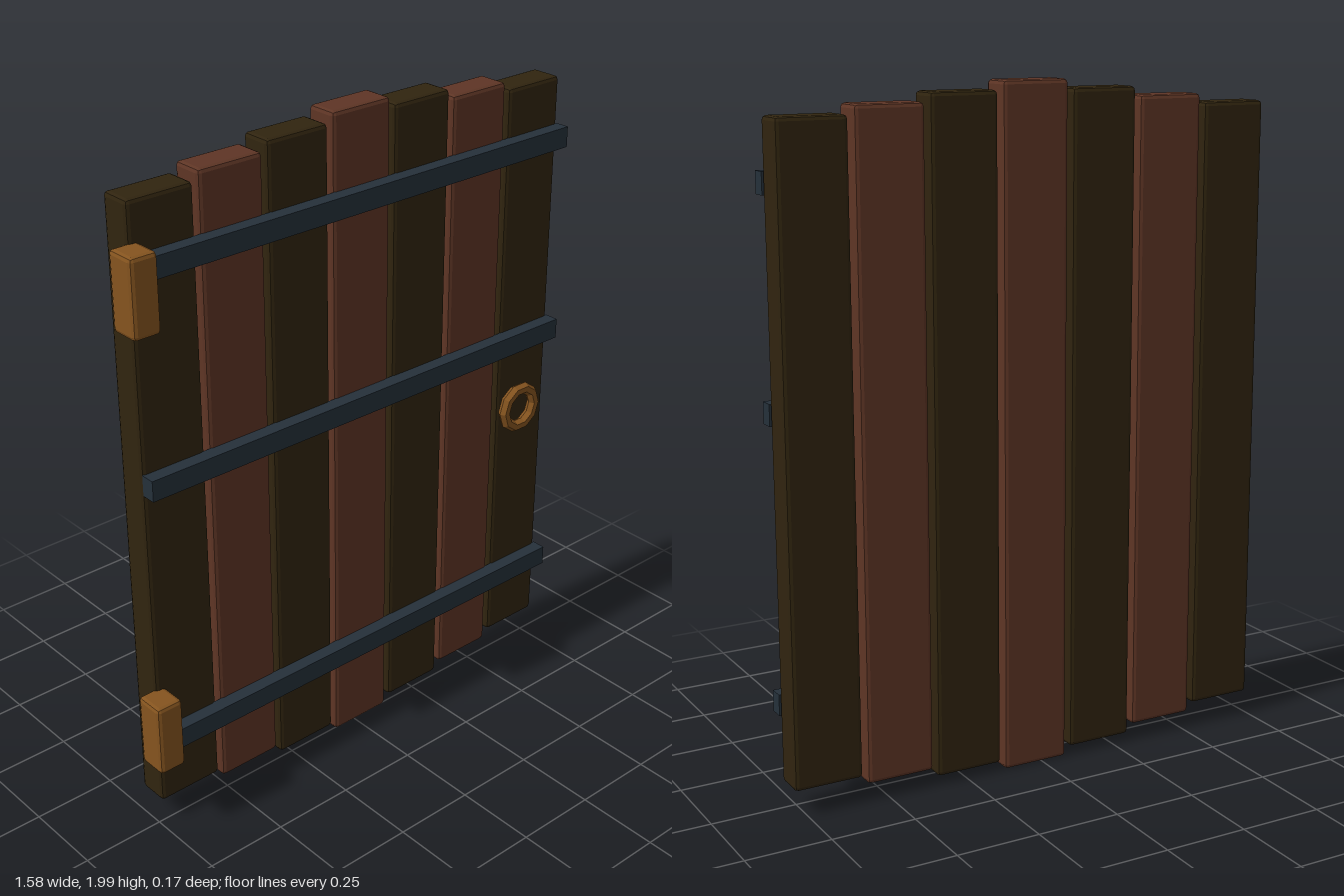
import * as THREE from 'three';
import { RoundedBoxGeometry } from 'three/addons/geometries/RoundedBoxGeometry.js';

const paint = (name, color) => {
  const m = new THREE.MeshStandardMaterial({ color, flatShading: true });
  m.name = name;
  return m;
};

export function createModel() {
  const darkWood = paint('dark wood', 0x30240f);
  const redWood = paint('red wood', 0x5e3525);
  const iron = paint('iron', 0x25303a);
  const brass = paint('brass', 0x85541f);

  const door = new THREE.Group();
  door.name = 'door';

  const add = (name, geometry, material, x, y, z) => {
    const mesh = new THREE.Mesh(geometry, material);
    mesh.name = name;
    mesh.position.set(x, y, z);
    door.add(mesh);
  };

  // Seven planks, alternating in colour and longest in the middle
  for (let i = -3; i <= 3; i++) {
    const height = 1.99 - 0.051 * Math.abs(i);
    add('plank', new RoundedBoxGeometry(0.205, height, 0.097, 1, 0.012),
      i % 2 ? darkWood : redWood, 0.022 + i * 0.22, 1.005, -0.038);
  }
  // Outer and odd planks alternate starting with dark at both edges
  door.children.forEach((plank, i) => { plank.material = i % 2 ? redWood : darkWood; });

  // Flat iron straps across the front
  for (const y of [0.311, 1.133, 1.748]) {
    add('strap', new THREE.BoxGeometry(1.526, 0.062, 0.044), iron, 0.024, y, 0.03);
  }

  // Hinge blocks on the hinge side
  for (const y of [0.363, 1.698]) {
    add('hinge', new RoundedBoxGeometry(0.084, 0.222, 0.093, 1, 0.012), brass, -0.748, y, 0.041);
  }

  // Ring handle
  add('ringHandle', new THREE.TorusGeometry(0.063, 0.018, 6, 10), brass, 0.614, 0.927, 0.071);

  return door;
}
